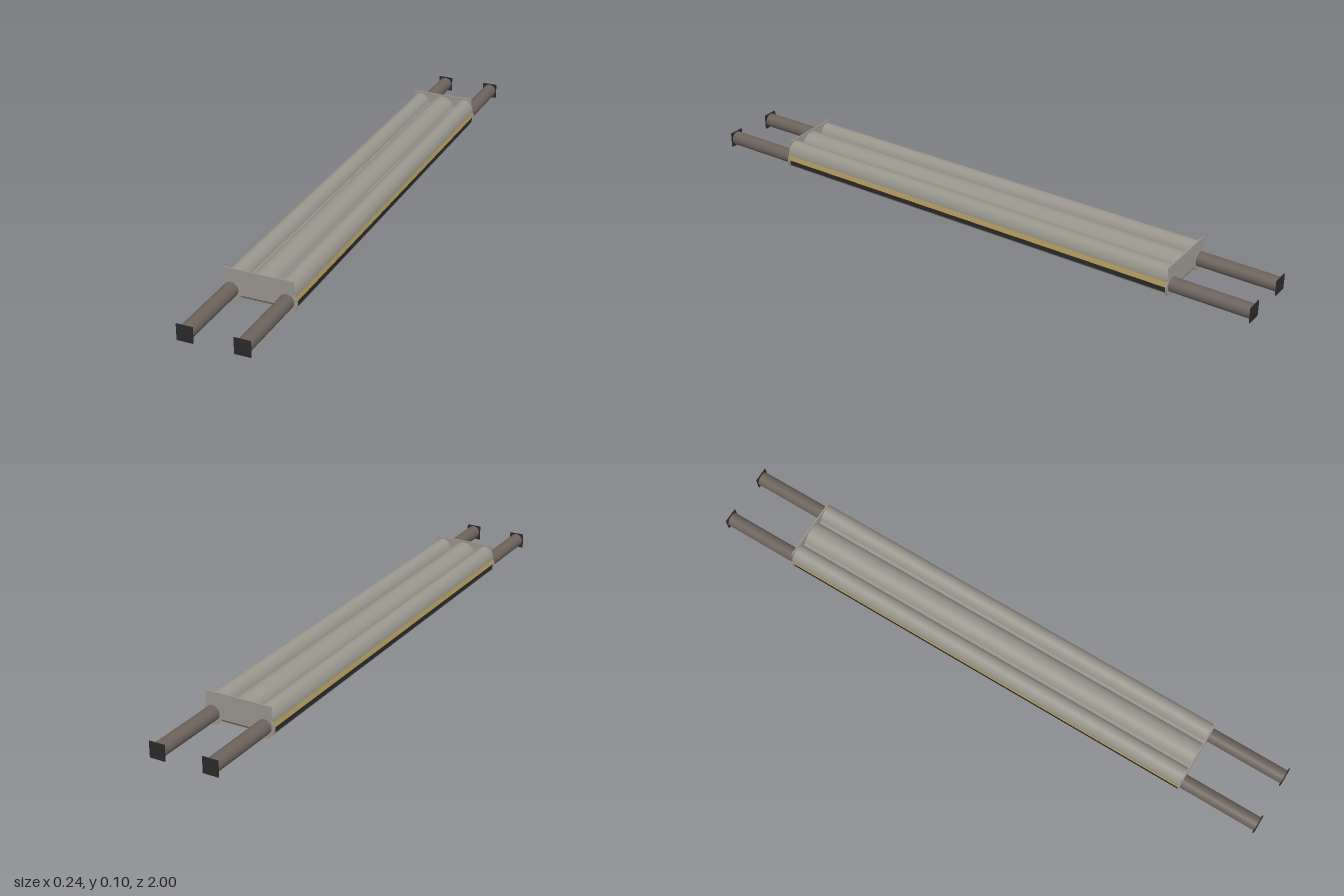
import * as THREE from 'three';

const mat = (name, color) => {
  const m = new THREE.MeshStandardMaterial({ color });
  m.name = name;
  return m;
};

export function createModel() {
  const model = new THREE.Group();
  const grey = mat('warm grey', 0x99968d);
  const brown = mat('dark brown grey', 0x6b625b);
  const black = mat('near black', 0x2b2a29);
  const gold = mat('dull gold', 0xc0a868);

  const END = 0.73, LENGTH = 2 * END, ROD_X = 0.0885, ROD_Y = 0.0375;

  const add = (name, geometry, material, x, y, z) => {
    const mesh = new THREE.Mesh(geometry, material);
    mesh.name = name;
    mesh.position.set(x, y, z);
    model.add(mesh);
    return mesh;
  };
  const box = (name, w, h, d, material, x, y, z) =>
    add(name, new THREE.BoxGeometry(w, h, d), material, x, y, z);
  const rod = (name, r, length, material, x, y, z) =>
    add(name, new THREE.CylinderGeometry(r, r, length, 32).rotateX(Math.PI / 2), material, x, y, z);

  // Layered deck beneath the padding
  box('basePlate', 0.228, 0.004, LENGTH, brown, 0, 0.018, 0);
  box('darkLayer', 0.23, 0.016, LENGTH, black, 0, 0.028, 0);
  box('goldLayer', 0.231, 0.02, LENGTH, gold, 0, 0.046, 0);
  box('paddingBase', 0.228, 0.012, LENGTH, grey, 0, 0.061, 0);

  // Three long domed pads, each half an ellipse in section
  for (const [x, rx] of [[-0.0835, 0.0325], [0, 0.043], [0.0835, 0.0325]]) {
    const pad = new THREE.CylinderGeometry(1, 1, LENGTH, 32, 1, false, Math.PI / 2, Math.PI);
    pad.rotateX(Math.PI / 2).scale(rx, 0.042, 1);
    // Turn the dome upward whichever half the arc covers
    pad.computeBoundingBox();
    if (pad.boundingBox.max.y < 0.01) pad.rotateZ(Math.PI);
    add('pad', pad, grey, x, 0.056, 0);
  }

  for (const end of [-1, 1]) {
    // Upright plate closing the deck
    box('endPlate', 0.22, 0.083, 0.004, grey, 0, 0.0635, end * END);

    for (const side of [-1, 1]) {
      const x = side * ROD_X;
      // Round collar, carrying rod and square end cap
      rod('rodCollar', 0.0335, 0.005, grey, x, 0.0335, end * END);
      rod('carryingRod', 0.0235, 0.269, brown, x, ROD_Y, end * 0.8635);
      box('rodCap', 0.051, 0.051, 0.004, black, x, ROD_Y, end * 0.998);
    }
  }
  return model;
}
